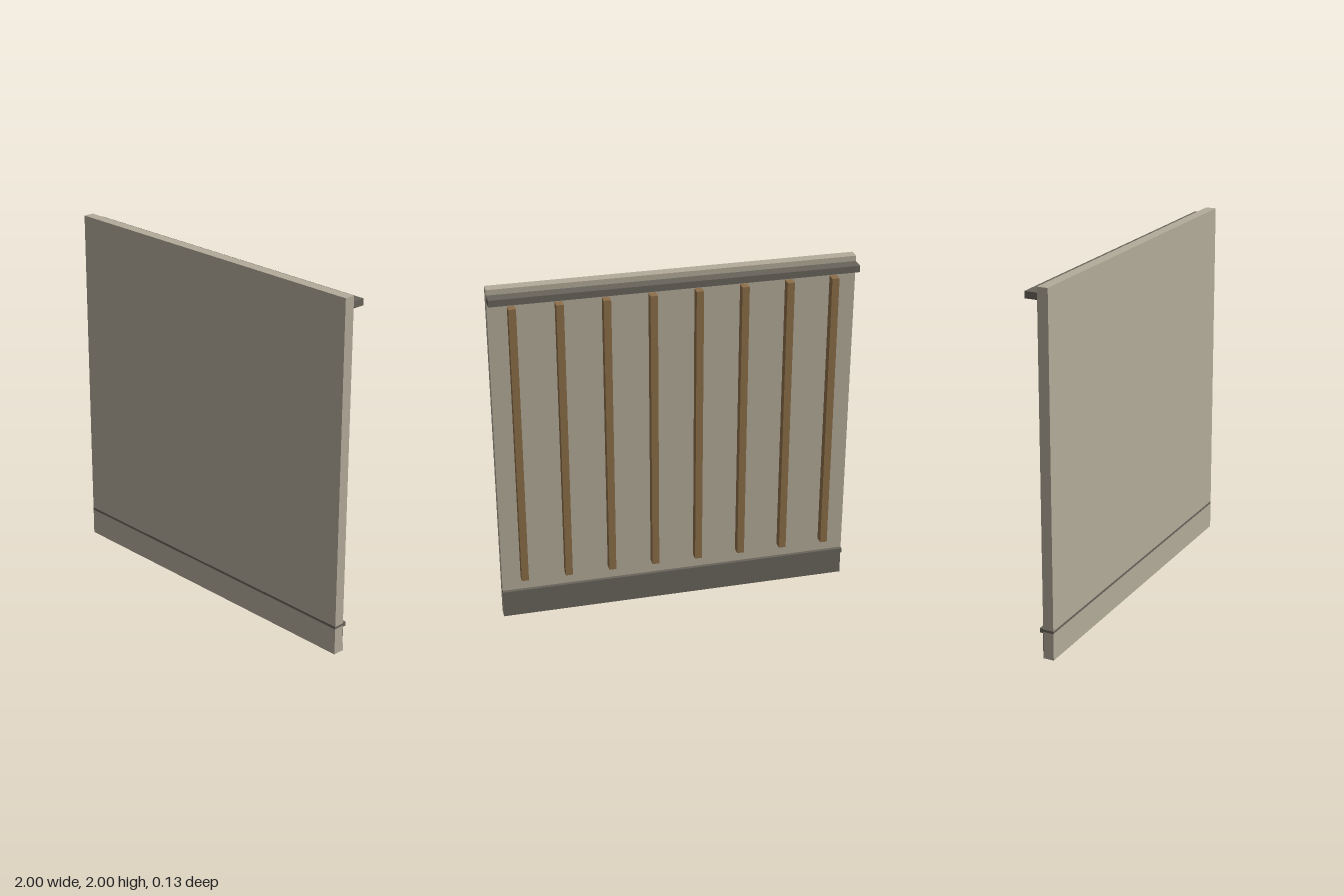
import * as THREE from 'three';

export function createModel() {
  const model = new THREE.Group();
  model.name = 'wallPanel';

  const plaster = new THREE.MeshStandardMaterial({ color: 0xb3ab99 });
  plaster.name = 'plaster';
  const darkTrim = new THREE.MeshStandardMaterial({ color: 0x69645c });
  darkTrim.name = 'dark trim';
  const wood = new THREE.MeshStandardMaterial({ color: 0x8d6e49 });
  wood.name = 'wood';

  // Box given by its extents along each axis
  function box(name, material, [x0, x1], [y0, y1], [z0, z1]) {
    const mesh = new THREE.Mesh(new THREE.BoxGeometry(x1 - x0, y1 - y0, z1 - z0), material);
    mesh.position.set((x0 + x1) / 2, (y0 + y1) / 2, (z0 + z1) / 2);
    mesh.name = name;
    model.add(mesh);
  }

  const full = [-1, 1];
  const back = 0.005;

  // Main slab
  box('wallSlab', plaster, full, [0, 2], [back, 0.065]);

  // Thin seam around the slab, level with the lower rail
  box('seamBand', darkTrim, [-1.0005, 1.0005], [0.153, 0.167], [back, 0.0655]);

  // Skirting plate and rails on the back
  box('skirting', darkTrim, full, [0, 0.147], [back - 0.002, back]);
  box('lowerRail', darkTrim, full, [0.145, 0.17], [-0.015, back]);
  box('topRail', darkTrim, full, [1.933, 1.97], [-0.065, back]);

  // Row of upright battens on the back
  for (let i = 0; i < 8; i++) {
    const x = -0.875 + i * 0.25;
    box('batten' + (i + 1), wood, [x - 0.02, x + 0.02], [0.25, 1.9], [-0.045, back]);
  }

  return model;
}
